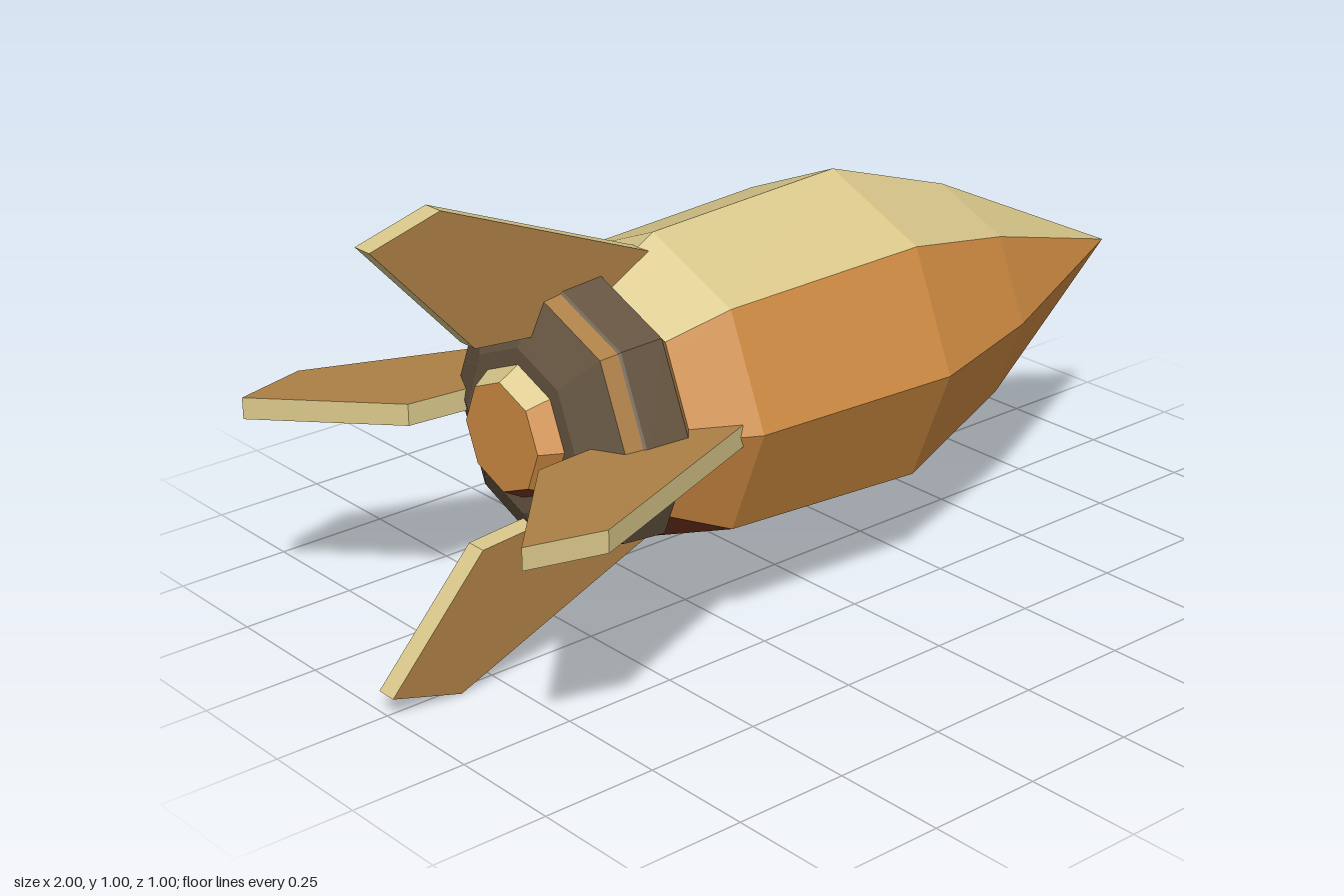
import * as THREE from 'three';

const paint = (color) => new THREE.MeshStandardMaterial({ color, flatShading: true });
const TAN = paint(0xd9c78a), ORANGE = paint(0xd08c42), RED = paint(0x7a3820);
const BROWN = paint(0xac7f46), DARK = paint(0x655440);
const Q = Math.PI / 4;

// Profile of [x, radius] turned about the long x axis
function turned(profile, sides = 8, start = 0) {
  const points = profile.map(([x, r]) => new THREE.Vector2(r, x));
  return new THREE.LatheGeometry(points, sides, start, sides * Q).rotateZ(-Math.PI / 2);
}

function add(parent, name, geometry, material) {
  const mesh = new THREE.Mesh(geometry, material);
  mesh.name = name;
  parent.add(mesh);
  return mesh;
}

export function createModel() {
  const rocket = new THREE.Group();
  rocket.name = 'rocket';
  const axis = new THREE.Group();
  axis.name = 'rocketAxis';
  axis.position.y = 0.5;
  rocket.add(axis);

  // Eight-sided hull: pale top, orange sides, dark red belly
  const hull = [[-0.705, 0.115], [-0.32, 0.33], [0.16, 0.355], [0.48, 0.25], [1, 0]];
  add(axis, 'hullTop', turned(hull, 2, 5 * Q), TAN);
  add(axis, 'hullFrontSide', turned(hull, 2, -Q), ORANGE);
  add(axis, 'hullBackSide', turned(hull, 2, 3 * Q), ORANGE);
  add(axis, 'hullBelly', turned(hull, 2, Q), RED);
  const cap = add(axis, 'tailCap', new THREE.CircleGeometry(0.115, 8).rotateY(-Math.PI / 2), ORANGE);
  cap.position.x = -0.705;

  // Banded collar around the tail
  add(axis, 'collarRear', turned([[-0.66, 0.1], [-0.66, 0.175], [-0.61, 0.272]]), DARK);
  add(axis, 'collarRearBand', turned([[-0.61, 0.272], [-0.57, 0.278]]), BROWN);
  add(axis, 'collarMiddle', turned([[-0.57, 0.278], [-0.565, 0.282], [-0.47, 0.29]]), DARK);
  add(axis, 'collarFrontBand', turned([[-0.47, 0.29], [-0.435, 0.25], [-0.435, 0.2]]), BROWN);

  // Four swept fins with pale edges
  const outline = [[-0.29, 0.279], [-0.84, 0.5], [-1, 0.455], [-0.775, 0.21], [-0.66, 0.2], [-0.29, 0.17]];
  const shape = new THREE.Shape(outline.map(([x, y]) => new THREE.Vector2(x, y)));
  const finGeometry = new THREE.ExtrudeGeometry(shape, { depth: 0.046, bevelEnabled: false });
  finGeometry.translate(0, 0, -0.023);
  ['topFin', 'frontFin', 'bottomFin', 'backFin'].forEach((name, i) => {
    add(axis, name, finGeometry, [BROWN, TAN]).rotation.x = i * Math.PI / 2;
  });

  return rocket;
}
